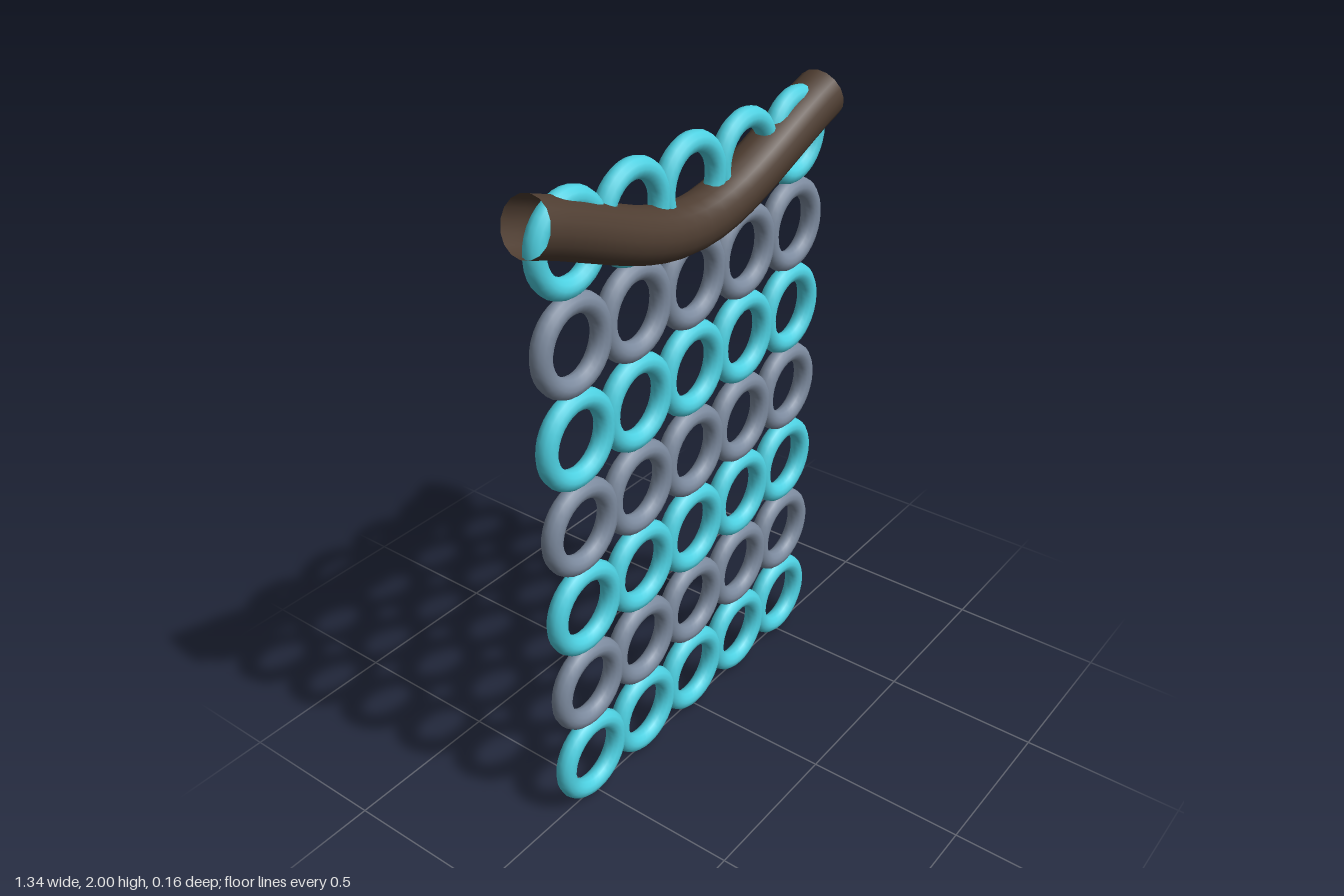
import * as THREE from 'three';

export function createModel() {
  const model = new THREE.Group();
  model.name = 'ringCurtain';

  const teal = new THREE.MeshStandardMaterial({ color: 0x4dd0e1 });
  const slate = new THREE.MeshStandardMaterial({ color: 0x7c8a9e });
  const brown = new THREE.MeshStandardMaterial({ color: 0x4e3d31, side: THREE.DoubleSide });

  // Sheet of rings, 5 across and 7 up, in rows of alternating colour
  const columns = 5, rows = 7;
  const pitchX = 0.253, pitchY = 0.281;
  const ringRadius = 0.117, wire = 0.031;
  const ringGeometry = new THREE.TorusGeometry(ringRadius, wire, 12, 32);
  for (let r = 0; r < rows; r++) {
    const row = new THREE.Group();
    row.name = `ringRow${r + 1}`;
    row.position.y = ringRadius + wire + r * pitchY;
    for (let c = 0; c < columns; c++) {
      const ring = new THREE.Mesh(ringGeometry, r % 2 ? slate : teal);
      ring.name = `ring${c + 1}`;
      ring.position.x = (c - (columns - 1) / 2) * pitchX;
      row.add(ring);
    }
    model.add(row);
  }

  // Sagging, open-ended collar tube through the top row
  const sag = new THREE.CatmullRomCurve3([
    new THREE.Vector3(-0.648, 1.923, 0),
    new THREE.Vector3(0, 1.719, 0),
    new THREE.Vector3(0.648, 1.923, 0),
  ]);
  const collar = new THREE.Mesh(new THREE.TubeGeometry(sag, 20, 0.08, 16, false), brown);
  collar.name = 'collarTube';
  model.add(collar);

  return model;
}
